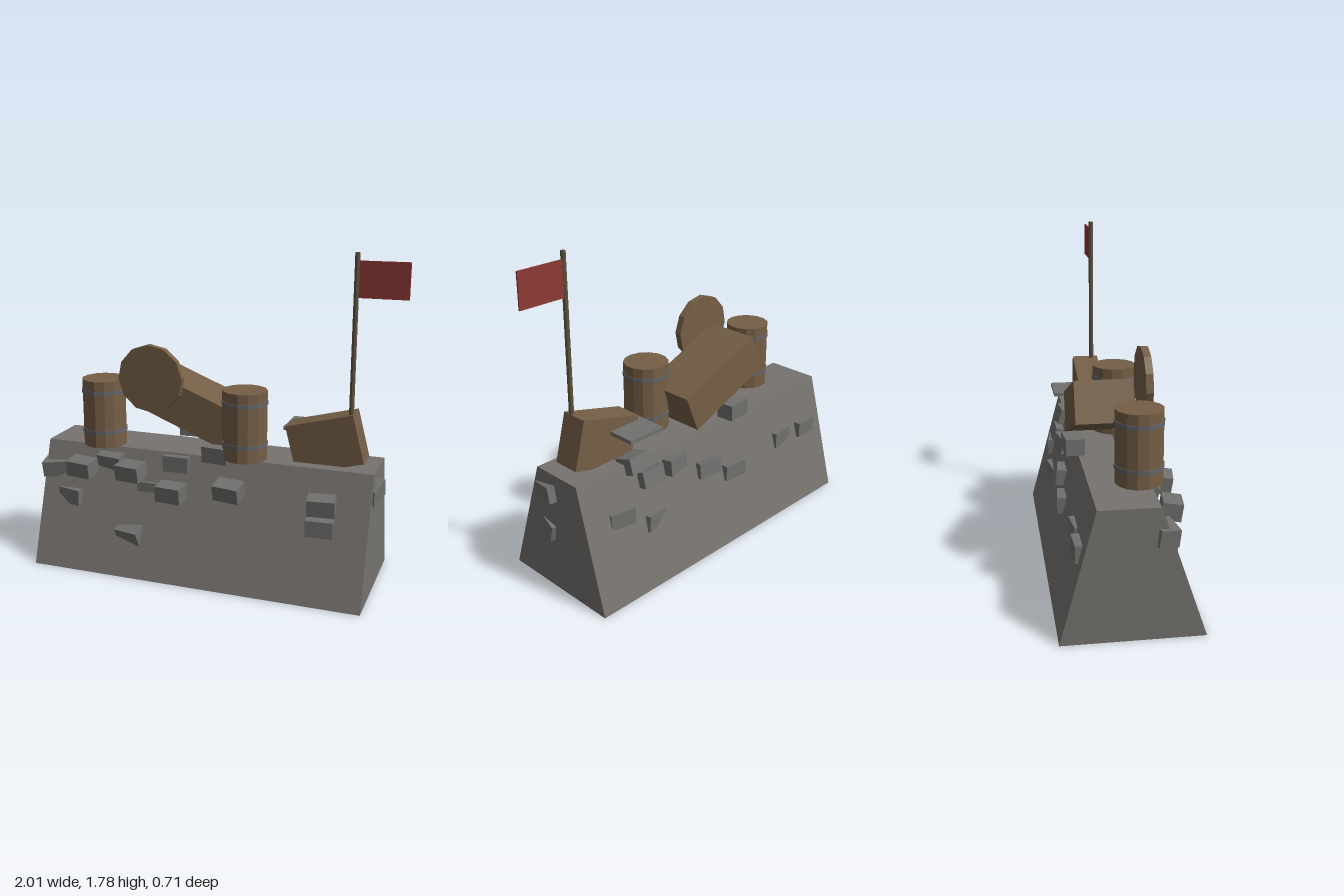
import * as THREE from 'three';

const mat = (name, color, extra = {}) => {
  const m = new THREE.MeshStandardMaterial({ color, flatShading: true, ...extra });
  m.name = name;
  return m;
};

export function createModel() {
  const model = new THREE.Group();
  model.name = 'barricade';
  const stone = mat('wallStone', 0x76736f);
  const rubble = mat('rubbleStone', 0x70706e);
  const wood = mat('wood', 0x755f46);
  const iron = mat('iron', 0x62656a);
  const poleWood = mat('poleWood', 0x5f5240);
  const red = mat('flagRed', 0x8e3a36, { side: THREE.DoubleSide });

  const add = (name, geometry, material, pos, rot = [0, 0, 0], parent = model) => {
    const mesh = new THREE.Mesh(geometry, material);
    mesh.name = name;
    mesh.position.set(...pos);
    mesh.rotation.set(...rot);
    parent.add(mesh);
    return mesh;
  };

  // Sloped wall: trapezoid section in (z, y) swept along x
  const section = new THREE.Shape([
    new THREE.Vector2(-0.355, 0), new THREE.Vector2(0.355, 0),
    new THREE.Vector2(0.175, 0.675), new THREE.Vector2(-0.125, 0.675),
  ]);
  const wallGeo = new THREE.ExtrudeGeometry(section, { depth: 1.865, bevelEnabled: false });
  wallGeo.rotateY(Math.PI / 2); // depth -> +x, shape x -> -z
  add('wall', wallGeo, stone, [-0.98, 0, 0]);

  // Rubble blocks: x, y, z, then rotation x, y, z
  const blockGeo = new THREE.BoxGeometry(0.145, 0.088, 0.1);
  const addBlocks = (name, list) => {
    const group = new THREE.Group();
    group.name = name;
    list.forEach(([x, y, z, rx, ry, rz], i) =>
      add(`${name}${i + 1}`, blockGeo, rubble, [x, y, z], [rx, ry, rz], group));
    model.add(group);
  };
  addBlocks('frontRubble', [
    [-0.19, 0.62, 0.12, 0, 0, 0],
    [-0.425, 0.58, 0.235, 0.15, -0.15, 0.03],
    [-0.19, 0.485, 0.235, 0.1, -0.08, 0],
    [0.135, 0.53, 0.22, 0.25, -0.12, 0],
    [0.03, 0.69, 0.1, 0.05, -0.1, 0],
    [0.638, 0.51, 0.215, 0.12, 0.1, 0],
    [0.635, 0.395, 0.22, 0, 0.08, 0],
    [-0.73, 0.565, 0.22, 0.15, -0.12, 0],
    [-0.8, 0.385, 0.19, 0, -0.25, 0],
    [-0.42, 0.23, 0.255, 0.4, -0.2, 0.1],
    [-0.925, 0.525, 0.15, 0.1, 0.2, 0.05],
    [-0.58, 0.6, 0.13, 0.3, -0.1, 0],
    [-0.33, 0.465, 0.15, 0, 0, 0],
  ]);
  addBlocks('endRubble', [
    [0.86, 0.56, 0.055, 0.2, 1.35, 0],
    [0.845, 0.345, 0.07, -0.2, 1.35, 0],
  ]);
  addBlocks('backRubble', [
    [-0.22, 0.733, -0.2, 0, 0.08, 0],
    [0.5, 0.66, -0.17, 0.3, 0.1, 0],
    [0.43, 0.57, -0.2, 0.25, 0, 0],
    [0.25, 0.57, -0.19, 0.1, 0.2, 0],
    [0.02, 0.47, -0.22, 0.1, -0.12, 0],
    [-0.17, 0.39, -0.235, 0, -0.08, 0],
    [0.65, 0.43, -0.21, 0, -0.15, 0],
    [-0.61, 0.42, -0.205, 0, 0.12, 0],
    [-0.82, 0.42, -0.22, 0, 0.05, 0],
    [0.44, 0.33, -0.225, 0, 0.2, 0.1],
  ]);

  // Barrels with iron bands
  const barrelGeo = new THREE.CylinderGeometry(0.121, 0.121, 0.375, 14);
  const bandGeo = new THREE.CylinderGeometry(0.125, 0.125, 0.02, 14);
  for (const x of [-0.65, 0.175]) {
    const barrel = new THREE.Group();
    barrel.name = 'barrel';
    barrel.position.set(x, 0, 0.075);
    add('barrelBody', barrelGeo, wood, [0, 0.8625, 0], [0, 0, 0], barrel);
    for (const y of [0.762, 0.985]) add('barrelBand', bandGeo, iron, [0, y, 0], [0, 0, 0], barrel);
    model.add(barrel);
  }

  // Upright wooden disc
  const discGeo = new THREE.CylinderGeometry(0.185, 0.185, 0.038, 12);
  add('woodenDisc', discGeo, wood, [-0.33, 1.087, 0.151], [Math.PI / 2, 0.06, 0]);

  // Tilted crates
  add('longCrate', new THREE.BoxGeometry(0.555, 0.22, 0.3), wood, [-0.145, 0.908, -0.06], [0, 0, -0.38]);
  add('smallCrate', new THREE.BoxGeometry(0.37, 0.265, 0.15), wood, [0.605, 0.783, -0.02], [0, 0, 0.255]);

  // Loose slab behind the small crate
  add('slab', new THREE.BoxGeometry(0.222, 0.02, 0.222), rubble, [0.473, 0.83, -0.135]);

  // Flag and pole
  add('flagPole', new THREE.CylinderGeometry(0.013, 0.013, 0.88, 8), poleWood, [0.735, 1.34, 0.018]);
  add('flag', new THREE.BoxGeometry(0.255, 0.185, 0.008), red, [0.8725, 1.648, 0.016]);

  return model;
}
